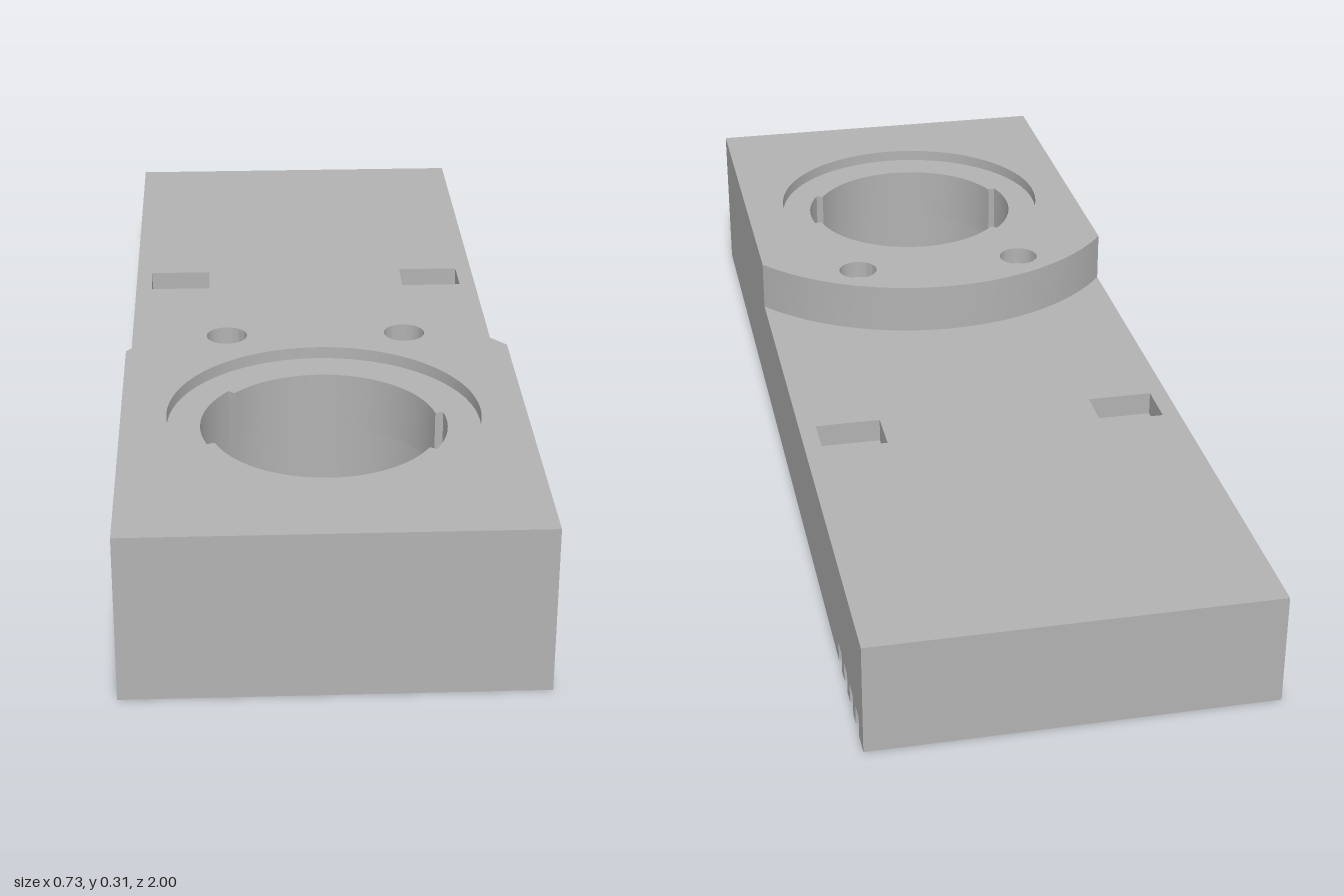
import * as THREE from 'three';
import { mergeGeometries, toCreasedNormals } from 'three/addons/utils/BufferGeometryUtils.js';

// Main dimensions
const W = 0.365, L = 1, LOW = 0.21, HIGH = 0.308;
const IW = 0.307, IL = 0.943, CEILING = 0.09;
const BORE_Z = 0.555, LIP = 0.175, SEAT = 0.285, VENT = 0.038;

const P = (x, z) => new THREE.Vector2(x, -z);
const rect = (x0, x1, z0, z1) => [P(x0, z1), P(x1, z1), P(x1, z0), P(x0, z0)];

// Points of an arc seen from above, angles in degrees, counterclockwise
function arc(r, from, to, cx = 0, cz = BORE_Z) {
  const n = Math.max(2, Math.ceil(Math.abs(to - from) / 5));
  return Array.from({ length: n + 1 }, (_, i) => {
    const a = THREE.MathUtils.degToRad(from + (to - from) * i / n);
    return P(cx + r * Math.cos(a), cz - r * Math.sin(a));
  });
}
const circle = (r, cx, cz) => arc(r, 0, 360, cx, cz).slice(0, -1);

// Upright wall along a closed outline; hollow = true faces it inwards
function wall(outline, y0, y1, hollow = false) {
  const pts = hollow ? [...outline].reverse() : outline;
  const pos = [];
  pts.forEach((a, i) => {
    const b = pts[(i + 1) % pts.length];
    pos.push(a.x, y0, -a.y, b.x, y0, -b.y, b.x, y1, -b.y);
    pos.push(a.x, y0, -a.y, b.x, y1, -b.y, a.x, y1, -a.y);
  });
  const g = new THREE.BufferGeometry();
  g.setAttribute('position', new THREE.Float32BufferAttribute(pos, 3));
  return g;
}

// Level face at height y, with optional holes
function face(outline, y, up = true, holes = []) {
  const shape = new THREE.Shape(outline);
  shape.holes = holes.map(h => new THREE.Path(h));
  const g = new THREE.ShapeGeometry(shape);
  if (!up) g.index.array.reverse();
  g.rotateX(-Math.PI / 2).translate(0, y, 0);
  const flat = g.toNonIndexed();
  flat.deleteAttribute('uv');
  flat.deleteAttribute('normal');
  return flat;
}

export function createModel() {
  const group = new THREE.Group();
  const grey = new THREE.MeshStandardMaterial({ color: 0xb2b2b2, side: THREE.DoubleSide });
  grey.name = 'grey';
  const add = (name, parts) => {
    const mesh = new THREE.Mesh(toCreasedNormals(mergeGeometries(parts), 0.5), grey);
    mesh.name = name;
    group.add(mesh);
  };

  const outer = rect(-W, W, -L, L);
  const inner = rect(-IW, IW, -IL, IL);
  const edge = THREE.MathUtils.radToDeg(Math.acos(W / 0.46));
  const crest = arc(0.46, edge, 180 - edge);
  const bore = circle(0.223, 0, BORE_Z);
  const boss = circle(0.287, 0, BORE_Z);
  const recess = circle(0.283, 0, BORE_Z);

  // Bore outline with two keyways, and the two lip sectors between them
  const keyed = [...arc(0.208, 10, 140), ...arc(0.223, 140, 199),
    ...arc(0.208, 199, 331), ...arc(0.223, 331, 370)];
  const lips = [[10, 140], [199, 331]].map(([a, b]) =>
    [...arc(0.223, a, b), ...arc(0.208, b, a)]);

  // Outer shell and hollow underside
  const pockets = [-1, 1].map(s => rect(s * 0.27 - 0.062, s * 0.27 + 0.062, -0.35, -0.26));
  add('body', [
    wall(outer, VENT, LOW),
    face([P(-W, -L), ...[...crest].reverse(), P(W, -L)].reverse(), LOW, true, pockets),
    wall(inner, VENT, CEILING, true),
    face(inner, CEILING, false, [boss]),
  ]);

  // Bottom rim, interrupted by four vent slots on one side
  const slots = [0, 1, 2, 3].map(i => [-0.733 - i * 0.0623, -0.769 - i * 0.0623]);
  const first = slots[0][0], last = slots[3][1];
  const rim = [P(W, last), P(W, -L), P(-W, -L), P(-W, L), P(W, L), P(W, first), P(IW, first),
    P(IW, IL), P(-IW, IL), P(-IW, -IL), P(IW, -IL), P(IW, last)];
  const teeth = [0, 1, 2].map(i => rect(IW, W, slots[i + 1][0], slots[i][1]));
  add('rimWithVents', [
    ...[rim, ...teeth].flatMap(o => [wall(o, 0, VENT), face(o, 0, false)]),
    ...slots.map(([a, b]) => face(rect(IW, W, b, a), VENT, false)),
  ]);

  // Raised head with a rounded back
  const head = [P(-W, L), P(W, L), ...crest];
  const pins = [-1, 1].map(s => circle(0.039, s * 0.172, 0.21));
  add('raisedHead', [wall(head, LOW, HIGH), face(head, HIGH, true, [recess, ...pins])]);

  // Stepped bore with bayonet keyways
  add('bayonetSocket', [
    wall(recess, SEAT, HIGH, true),
    face(recess, SEAT, true, [keyed]),
    wall(keyed, LIP, SEAT, true),
    ...lips.map(o => face(o, LIP, false)),
    wall(bore, 0, LIP, true),
  ]);

  // Ring around the bore on the underside
  add('bossRing', [wall(boss, 0, CEILING), face(boss, 0, false, [bore])]);

  // Blind recesses in the top
  add('pockets', pockets.flatMap(o => [wall(o, LOW - 0.045, LOW, true), face(o, LOW - 0.045)]));
  add('pinHoles', pins.flatMap(o => [wall(o, HIGH - 0.035, HIGH, true), face(o, HIGH - 0.035)]));

  return group;
}
